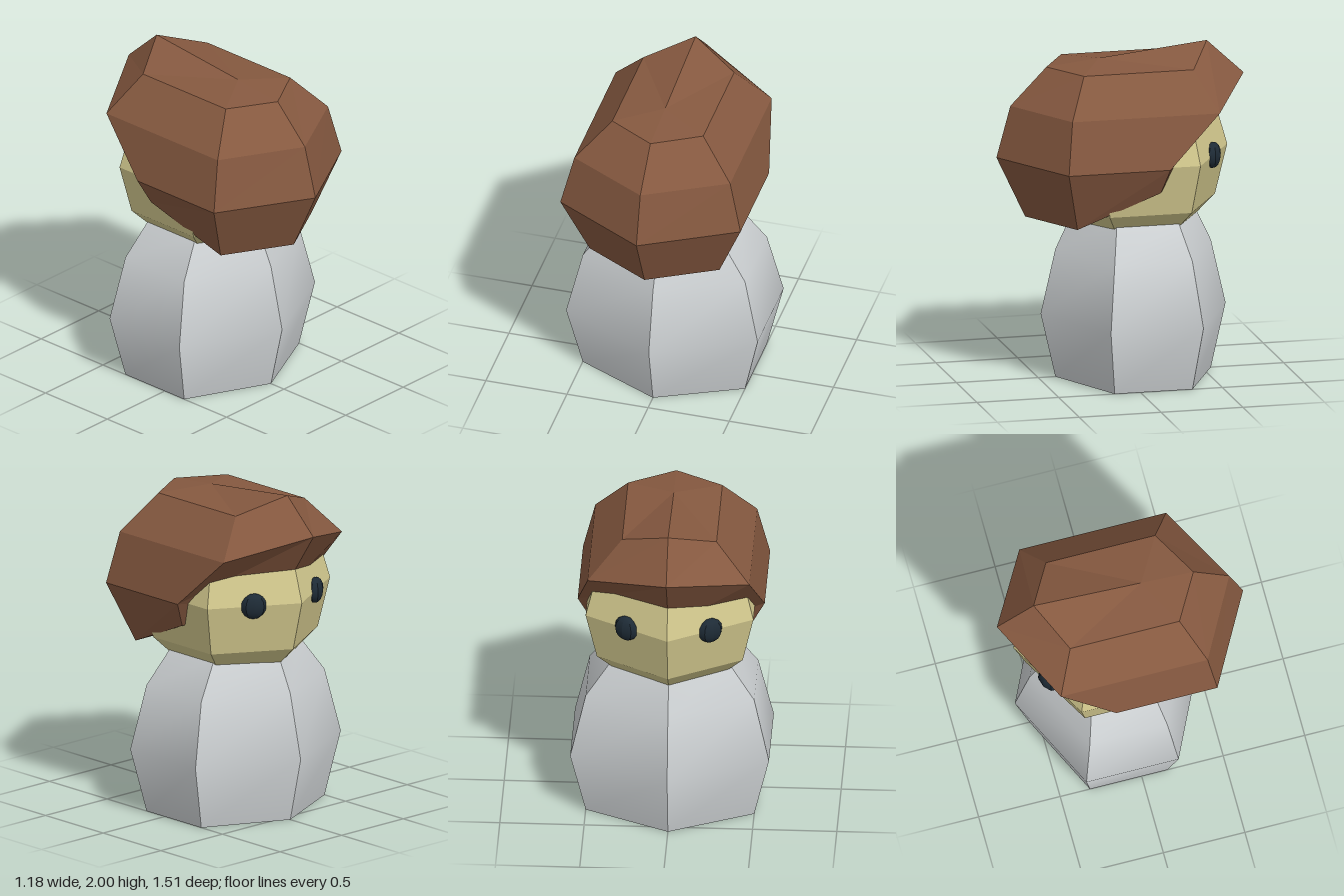
import * as THREE from 'three';
import { toCreasedNormals } from 'three/addons/utils/BufferGeometryUtils.js';

const material = (name, color) => Object.assign(new THREE.MeshStandardMaterial({ color }), { name });

const CENTRE_Z = -0.08;

// Mirrored six-point ring: +z tip, +z corner, -z corner, -z tip
function ring([y0, z0], [x1, y1, z1], [x2, y2, z2], [y3, z3]) {
  return [
    [0, y0, z0], [x1, y1, z1], [x2, y2, z2],
    [0, y3, z3], [-x2, y2, z2], [-x1, y1, z1],
  ];
}

// Level hexagon with half width x and tip radius r
function hexagon(y, x, r) {
  const c = CENTRE_Z;
  return ring([y, c + r], [x, y, c + r / 2], [x, y, c - r / 2], [y, c - r]);
}

// Closed skin over rings listed from bottom to top, with a fan at each end
function loft(rings, bottom, top) {
  const points = [...rings.flat(), bottom, top];
  const n = 6;
  const last = (rings.length - 1) * n;
  const low = rings.length * n;
  const index = [];
  for (let i = 0; i < n; i++) {
    const j = (i + 1) % n;
    for (let k = 0; k < last; k += n) {
      index.push(k + i, k + j, k + n + j, k + i, k + n + j, k + n + i);
    }
    index.push(low, j, i, low + 1, last + i, last + j);
  }
  const geometry = new THREE.BufferGeometry();
  geometry.setAttribute('position', new THREE.Float32BufferAttribute(points.flat(), 3));
  geometry.setIndex(index);
  return geometry;
}

function flat(geometry) {
  const result = geometry.toNonIndexed();
  result.computeVertexNormals();
  return result;
}

export function createModel() {
  const model = new THREE.Group();
  model.name = 'figure';
  const bodyGrey = material('bodyGrey', 0xcdd1d3);
  const skin = material('skin', 0xd4ca8f);
  const hairBrown = material('hairBrown', 0x865940);
  const eyeDark = material('eyeDark', 0x1e2b36);

  const add = (name, geometry, mat) => {
    const mesh = new THREE.Mesh(geometry, mat);
    mesh.name = name;
    model.add(mesh);
    return mesh;
  };

  // Barrel body, smooth up each side and sharp at the corners
  const body = loft([
    hexagon(0, 0.5, 0.475),
    hexagon(0.39, 0.59, 0.565),
    hexagon(0.78, 0.5, 0.475),
    hexagon(1.0, 0.345, 0.37),
  ], [0, 0, CENTRE_Z], [0, 1, CENTRE_Z]);
  add('body', toCreasedNormals(body, Math.PI / 6), bodyGrey);

  // Faceted head
  const headRings = [[0.955, 0.39], [1.06, 0.5], [1.36, 0.575], [1.62, 0.5], [1.72, 0.39]];
  const head = loft(
    headRings.map(([y, r]) => hexagon(y, r * 0.866, r)),
    [0, 0.955, CENTRE_Z], [0, 1.72, CENTRE_Z],
  );
  add('head', flat(head), skin);

  // Hair: long at +z, rising to a pointed brim over the face at -z
  const hair = loft([
    ring([0.99, 0.58], [0.4, 0.99, 0.36], [0.48, 1.205, -0.13], [1.25, -0.35]),
    ring([1.36, 0.755], [0.555, 1.36, 0.45], [0.555, 1.36, -0.17], [1.36, -0.465]),
    ring([1.67, 0.67], [0.48, 1.67, 0.41], [0.48, 1.67, -0.49], [1.79, -0.755]),
    ring([1.895, 0.45], [0.28, 1.895, 0.29], [0.28, 1.895, -0.38], [2.0, -0.53]),
  ], [0, 1.1, 0.1], [0, 1.93, 0.13]);
  add('hair', flat(hair), hairBrown);

  // Button eyes, flattened against the two face panels
  const ball = toCreasedNormals(new THREE.SphereGeometry(0.078, 8, 8), Math.PI / 6);
  for (const side of [1, -1]) {
    const eye = add(side > 0 ? 'leftEye' : 'rightEye', ball, eyeDark);
    eye.position.set(side * 0.25, 1.36, -0.505);
    eye.rotation.y = side * (Math.PI * 5) / 6;
    eye.scale.z = 0.6;
  }

  return model;
}
